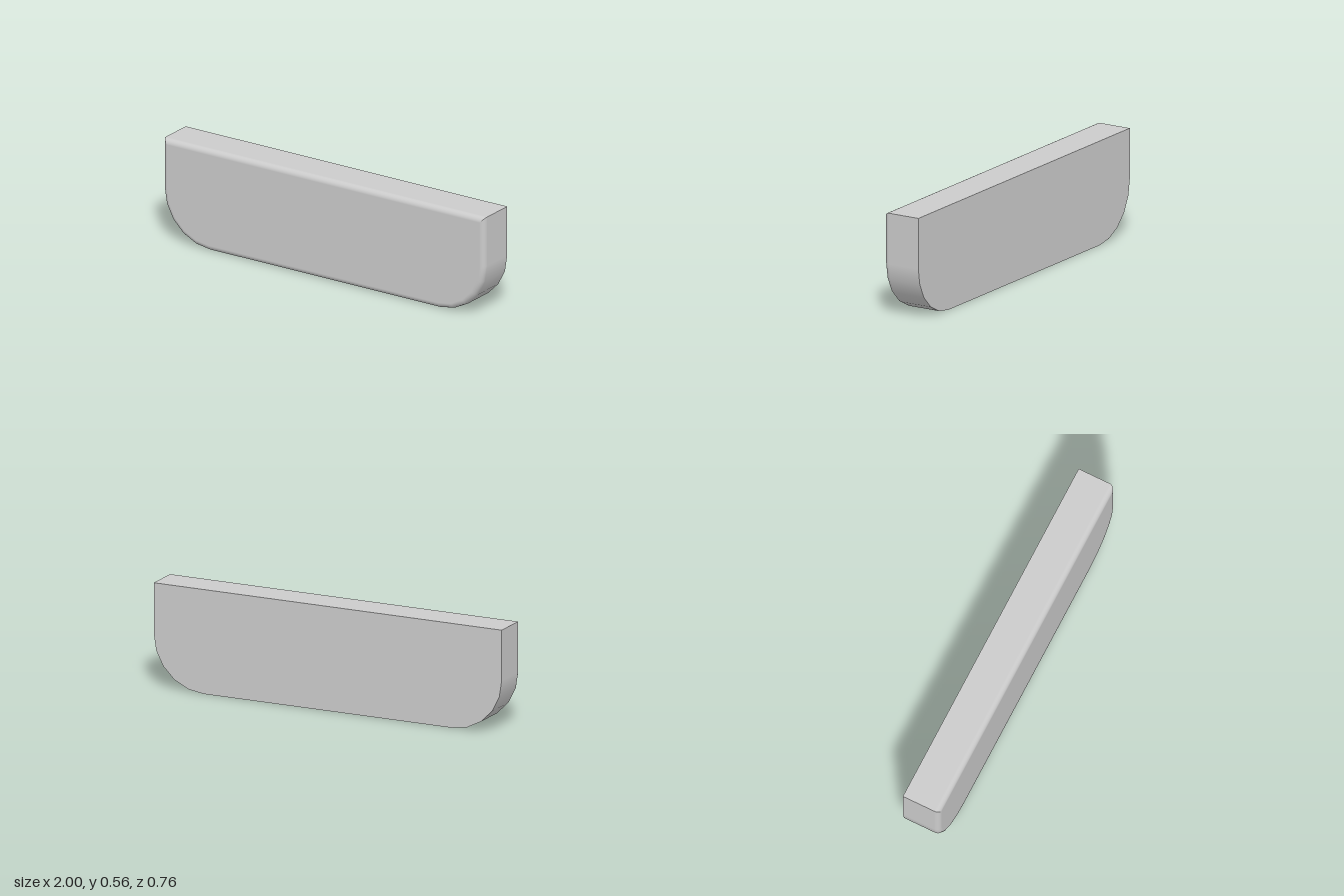
import * as THREE from 'three';

const LENGTH = 2.025, HEIGHT = 0.562, DEPTH = 0.212;
const CORNER = 0.29, EDGE = 0.03, ARC_STEPS = 5, EDGE_STEPS = 6;

// Slab outline shrunk by d, counterclockwise: [x, y, normalX, normalY]
function outline(d) {
  const h = LENGTH / 2, top = HEIGHT - d, pts = [[-h + d, top, -1, 0]];
  for (const side of [-1, 1]) {
    for (let i = 0; i <= ARC_STEPS; i++) {
      const a = Math.PI * (side < 0 ? 1 : 1.5) + (i / ARC_STEPS) * Math.PI / 2;
      const nx = Math.cos(a), ny = Math.sin(a);
      pts.push([side * (h - CORNER) + nx * (CORNER - d), CORNER + ny * (CORNER - d), nx, ny]);
    }
  }
  pts.push([h - d, top, 1, 0], [h - d, top, 0, 1], [-h + d, top, 0, 1]);
  return pts;
}

// Side walls, rolling over into the front face
function wallGeometry() {
  const rings = [{ d: 0, z: -DEPTH / 2, a: 0 }];
  for (let i = 0; i <= EDGE_STEPS; i++) {
    const a = (i / EDGE_STEPS) * Math.PI / 2;
    rings.push({ d: EDGE * (1 - Math.cos(a)), z: DEPTH / 2 - EDGE + EDGE * Math.sin(a), a });
  }
  const pos = [], nor = [], idx = [], n = outline(0).length;
  rings.forEach(({ d, z, a }, r) => {
    outline(d).forEach(([x, y, nx, ny], i) => {
      pos.push(x, y, z);
      nor.push(nx * Math.cos(a), ny * Math.cos(a), Math.sin(a));
      if (r && i < n - 1) {
        const q = r * n + i, p = q - n;
        idx.push(p, p + 1, q + 1, p, q + 1, q);
      }
    });
  });
  const g = new THREE.BufferGeometry();
  g.setAttribute('position', new THREE.Float32BufferAttribute(pos, 3));
  g.setAttribute('normal', new THREE.Float32BufferAttribute(nor, 3));
  g.setIndex(idx);
  return g;
}

// Flat face filling the outline
function faceGeometry(d) {
  const pts = outline(d).slice(0, -2).map(([x, y]) => new THREE.Vector2(x, y));
  return new THREE.ShapeGeometry(new THREE.Shape(pts));
}

export function createModel() {
  const model = new THREE.Group();
  const slab = new THREE.Group();
  slab.name = 'slab';
  const material = new THREE.MeshStandardMaterial({ color: 0xcccccc });
  const add = (name, geometry) => {
    const mesh = new THREE.Mesh(geometry, material);
    mesh.name = name;
    slab.add(mesh);
    return mesh;
  };

  add('roundedSides', wallGeometry());
  add('frontFace', faceGeometry(EDGE)).position.z = DEPTH / 2;
  // Back face is turned around to look towards -z
  const back = add('backFace', faceGeometry(0));
  back.rotation.y = Math.PI;
  back.position.z = -DEPTH / 2;

  // The slab stands turned on its upright axis
  slab.rotation.y = THREE.MathUtils.degToRad(-16.05);
  slab.position.set(-0.005, 0, 0.002);
  model.add(slab);
  return model;
}
